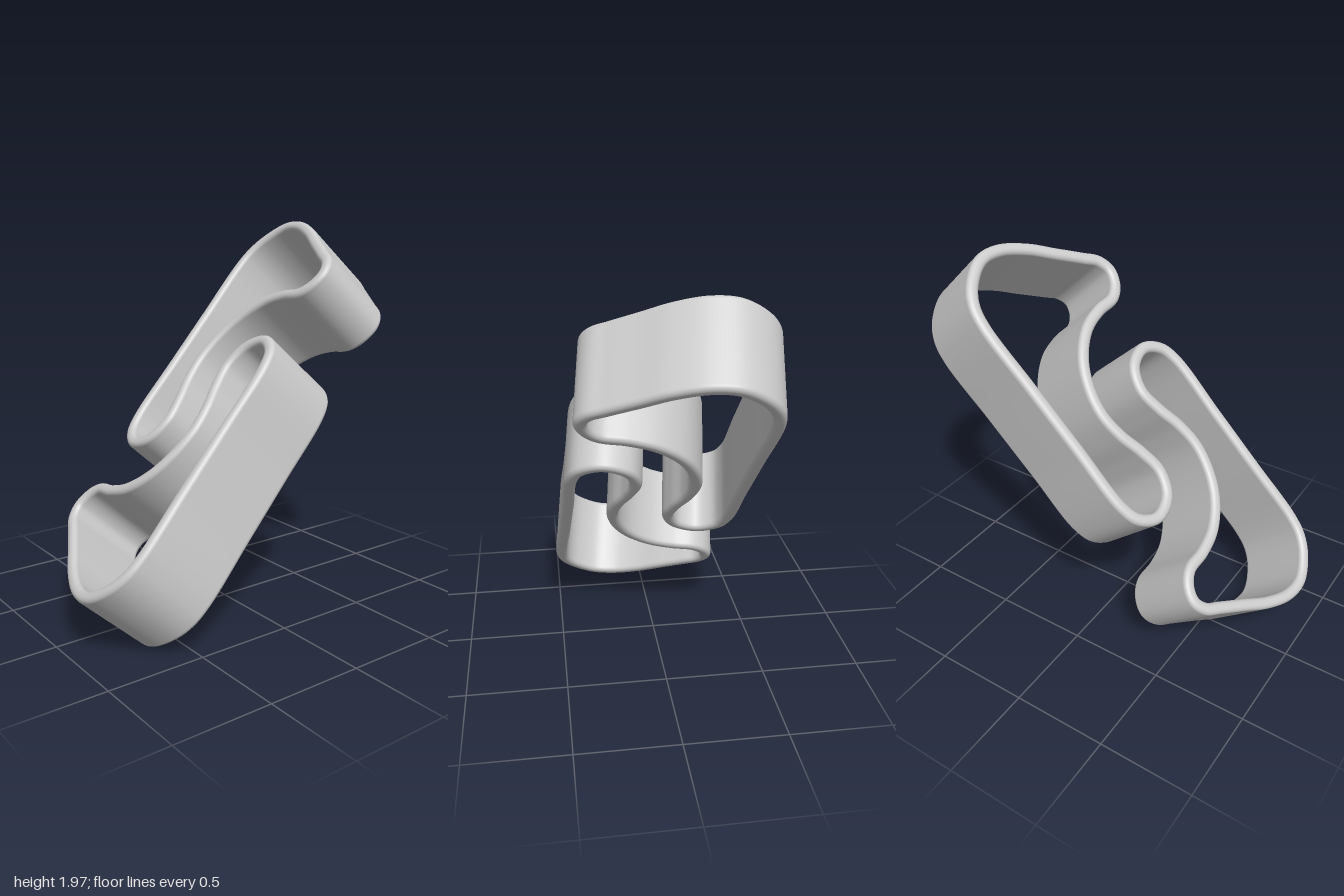
import * as THREE from 'three';

const DEPTH = 0.46, WALL = 0.062, ROUND = 0.026;

// Centre line of one looped band, counterclockwise in the band's own plane
const PATH = [
  [-0.549, 0.80], [-0.496, 0.456], [-0.442, 0.104], [-0.388, -0.24], [-0.335, -0.334],
  [-0.229, -0.377], [-0.117, -0.319], [-0.077, -0.197], [-0.118, -0.068], [-0.179, 0.054],
  [-0.215, 0.19], [-0.199, 0.341], [-0.139, 0.477], [-0.028, 0.592], [0.099, 0.65],
  [0.22, 0.678], [0.278, 0.736], [0.296, 0.815], [0.257, 0.879], [0.177, 0.922],
  [0.035, 0.994], [-0.106, 1.066], [-0.256, 1.109], [-0.378, 1.095], [-0.491, 1.001],
  [-0.54, 0.908],
];

// Rounded rectangle: a = across the wall, b = along the band's depth
function wallSection() {
  const pts = [], steps = 5;
  const ca = WALL / 2 - ROUND, cb = DEPTH / 2 - ROUND;
  [[1, 1], [-1, 1], [-1, -1], [1, -1]].forEach(([sa, sb], q) => {
    for (let k = 0; k <= steps; k++) {
      const t = (q + k / steps) * Math.PI / 2;
      pts.push([sa * ca + ROUND * Math.cos(t), sb * cb + ROUND * Math.sin(t)]);
    }
  });
  return pts;
}

// Sweep the wall section around the closed centre line
function bandGeometry() {
  const curve = new THREE.CatmullRomCurve3(
    PATH.map(([x, y]) => new THREE.Vector3(x, y, 0)), true, 'centripetal');
  const section = wallSection(), n = 260, m = section.length;
  const positions = [], index = [];
  for (let i = 0; i < n; i++) {
    const p = curve.getPointAt(i / n), t = curve.getTangentAt(i / n);
    for (const [a, b] of section) positions.push(p.x + t.y * a, p.y - t.x * a, b);
    for (let j = 0; j < m; j++) {
      const i2 = (i + 1) % n, j2 = (j + 1) % m;
      const A = i * m + j, B = i2 * m + j, C = i2 * m + j2, D = i * m + j2;
      index.push(A, B, C, A, C, D);
    }
  }
  const geo = new THREE.BufferGeometry();
  geo.setAttribute('position', new THREE.Float32BufferAttribute(positions, 3));
  geo.setIndex(index);
  geo.computeVertexNormals();
  return geo;
}

export function createModel() {
  const model = new THREE.Group();
  const material = new THREE.MeshStandardMaterial({ color: 0xcccccc });
  const geo = bandGeometry();

  // Two identical bands, half a turn apart
  const pair = new THREE.Group();
  pair.name = 'interlockingBands';
  ['upperBand', 'lowerBand'].forEach((name, i) => {
    const band = new THREE.Mesh(geo, material);
    band.name = name;
    band.rotation.z = i * Math.PI;
    pair.add(band);
  });

  // Lean the pair back
  const normal = new THREE.Vector3(-0.054, 0.31, 0.335).normalize();
  const u = new THREE.Vector3(normal.z, 0, -normal.x).normalize();
  const v = new THREE.Vector3().crossVectors(normal, u);
  pair.quaternion.setFromRotationMatrix(new THREE.Matrix4().makeBasis(u, v, normal));
  pair.position.y = 1;
  model.add(pair);
  return model;
}
